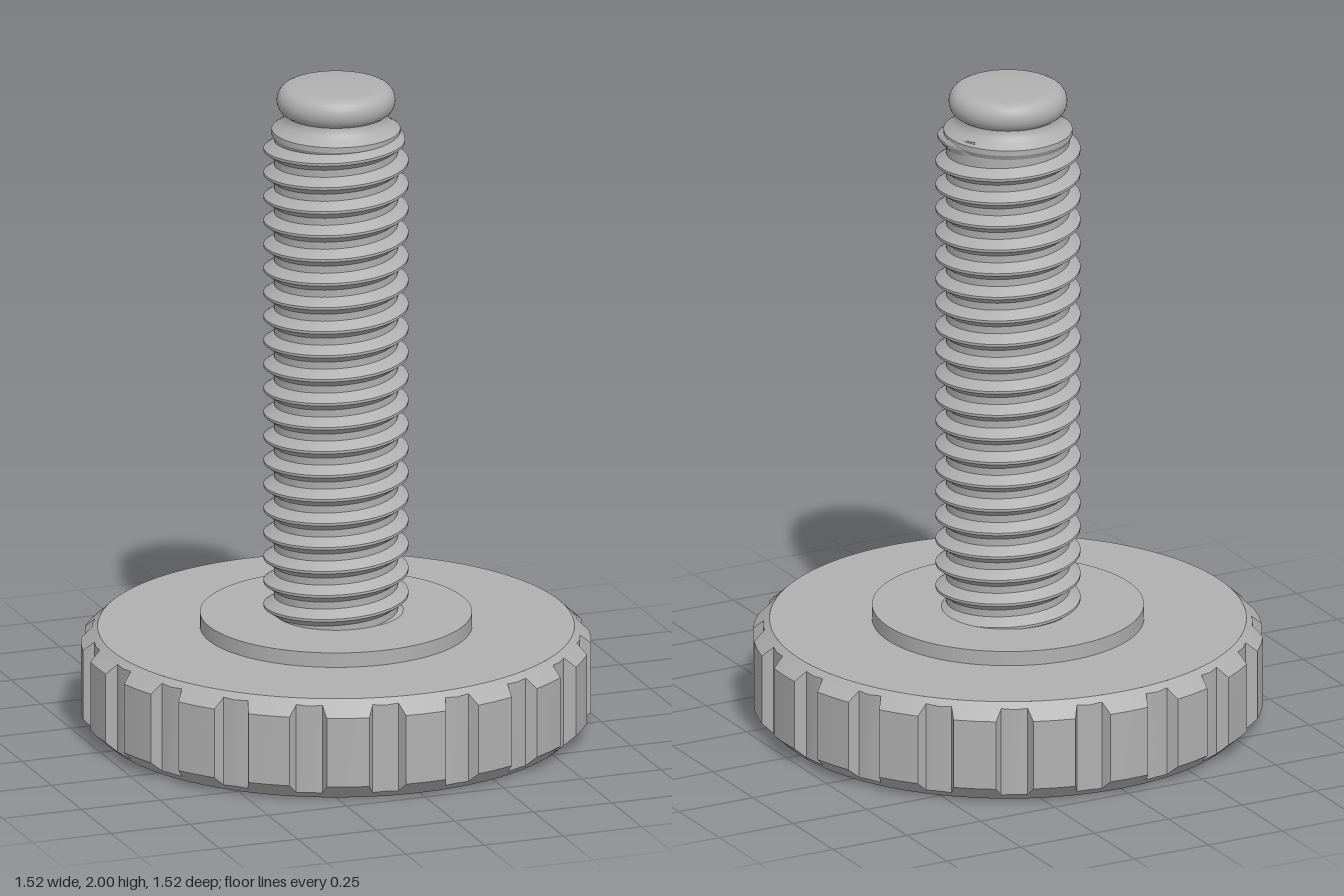
import * as THREE from 'three';
import { toCreasedNormals } from 'three/addons/utils/BufferGeometryUtils.js';

const V = (x, y) => new THREE.Vector2(x, y);

// Surface through columns of [radius, y] points, each column at its own angle
function sweep(columns) {
  const pos = [], idx = [], n = columns[0].pts.length;
  columns.forEach(({ angle, pts }, i) => {
    for (const [r, y] of pts) pos.push(r * Math.cos(angle), y, -r * Math.sin(angle));
    if (i === 0) return;
    for (let j = 0; j < n - 1; j++) {
      const a = (i - 1) * n + j, b = i * n + j;
      idx.push(a, b, b + 1, a, b + 1, a + 1);
    }
  });
  const geo = new THREE.BufferGeometry();
  geo.setAttribute('position', new THREE.Float32BufferAttribute(pos, 3));
  geo.setIndex(idx);
  return toCreasedNormals(geo, 0.35);
}

const lathe = (pts, segments = 120) => toCreasedNormals(new THREE.LatheGeometry(pts, segments), 0.45);

// Knurled rim: raised ridges with chamfers that follow the local radius
function knurledRim() {
  const teeth = 20, step = 18;
  const tooth = [[-4.8, 0.76], [0, 0.76], [4.8, 0.76], [5.9, 0.727], [9, 0.73], [12.1, 0.727]];
  const columns = [];
  const add = (deg, r) => columns.push({
    angle: THREE.MathUtils.degToRad(deg),
    pts: [[0.705, 0], [r, (r - 0.705) * 0.9], [r, 0.31 - (r - 0.71) * 0.92], [0.71, 0.31]],
  });
  for (let t = 0; t < teeth; t++) for (const [d, r] of tooth) add(t * step + d, r);
  add(teeth * step + tooth[0][0], tooth[0][1]);
  return sweep(columns);
}

// Right-hand helical thread that fades into the core at the upper end
function thread(pitch, root, crest, yStart, yEnd) {
  const perTurn = 48;
  const count = Math.round((yEnd - yStart) / pitch * perTurn);
  const columns = [];
  for (let i = 0; i <= count; i++) {
    const left = count - i;
    const y = yEnd - left / perTurn * pitch;
    const f = Math.min(1, left / 10);
    const r = root + (crest - root) * f;
    columns.push({
      angle: -left / perTurn * Math.PI * 2 + 0.5,
      pts: [[root - 0.002, y - 0.028], [r, y - 0.004], [r, y + 0.004], [root - 0.002, y + 0.028]],
    });
  }
  return sweep(columns);
}

export function createModel() {
  const model = new THREE.Group();
  const steel = new THREE.MeshStandardMaterial({ color: 0xb0b0b0 });
  steel.name = 'steel grey';
  const add = (name, geo) => {
    const mesh = new THREE.Mesh(geo, steel);
    mesh.name = name;
    model.add(mesh);
  };

  add('knurledRim', knurledRim());

  // Underside with a round recess and a ring groove
  add('headUnderside', lathe([
    V(0, 0.015), V(0.32, 0.015), V(0.32, 0), V(0.57, 0),
    V(0.57, 0.03), V(0.62, 0.03), V(0.62, 0), V(0.705, 0),
  ]));

  // Top of the head and the raised collar
  add('headTopAndCollar', lathe([V(0.71, 0.31), V(0.405, 0.31), V(0.405, 0.355), V(0, 0.355)]));

  // Core, shoulder, neck and rounded tip
  const tip = [];
  for (let i = 0; i <= 12; i++) {
    const a = -Math.PI / 2 + i / 12 * Math.PI;
    tip.push(V(0.137 + 0.04 * Math.cos(a), 1.955 + 0.045 * Math.sin(a)));
  }
  add('shaftCore', lathe([
    V(0.184, 0.33), V(0.184, 1.835), V(0.192, 1.85), V(0.192, 1.866), V(0.172, 1.88),
    V(0.16, 1.892), V(0.153, 1.904), V(0.152, 1.914), ...tip.slice(3), V(0, 2),
  ], 64));

  add('thread', thread(0.075, 0.184, 0.216, 0.33, 1.85));
  return model;
}
